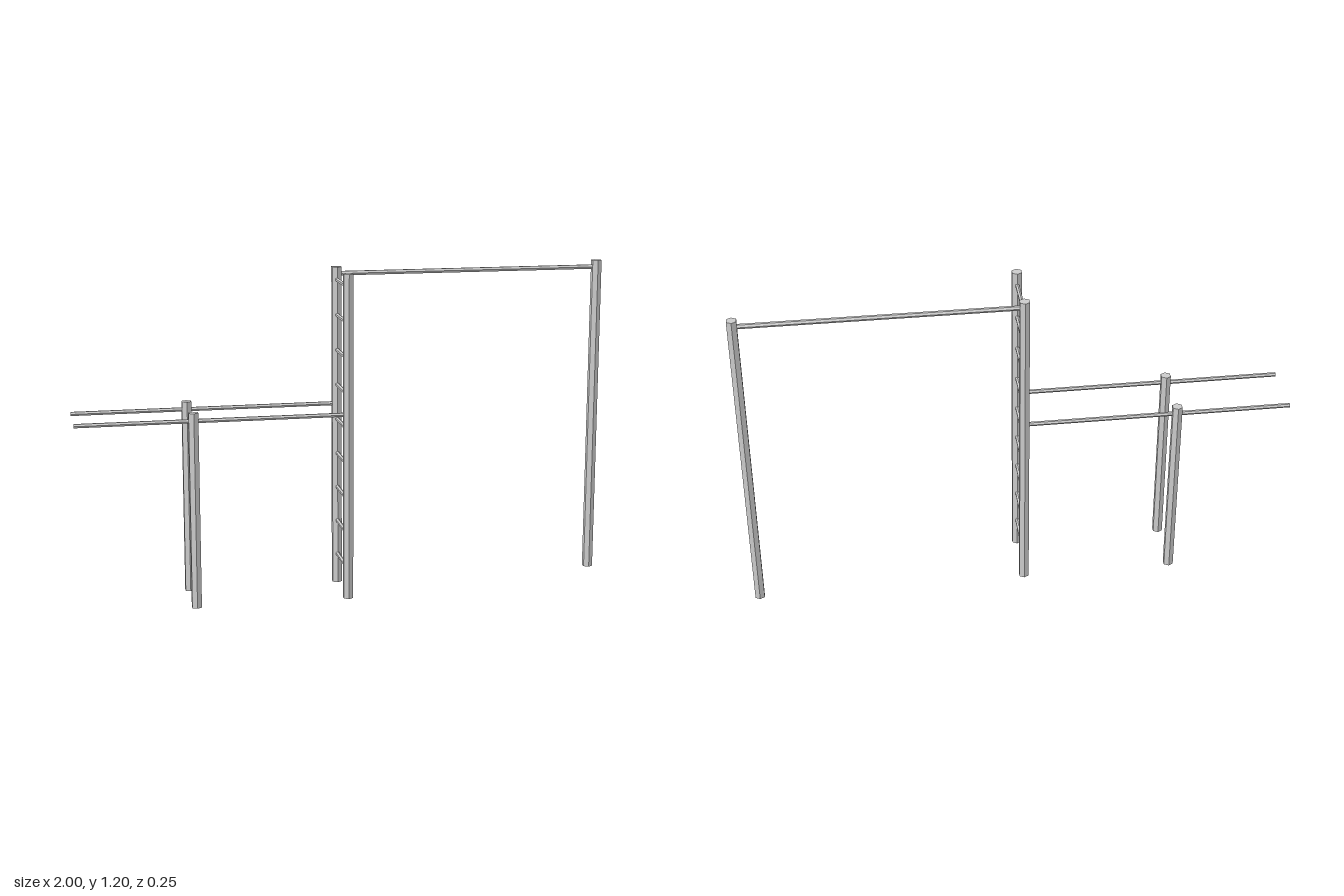
import * as THREE from 'three';

const material = new THREE.MeshStandardMaterial({ color: 0xcccccc, flatShading: true });
const SIDE_Z = 0.106; // distance of each row of posts from the centre line
const LADDER_X = -0.02;

// Six-sided upright standing on the ground
function post(name, x, z, height) {
  const mesh = new THREE.Mesh(new THREE.CylinderGeometry(0.02, 0.02, height, 6), material);
  mesh.name = name;
  mesh.position.set(x, height / 2, z);
  return mesh;
}

// Six-sided bar of a given length lying along x or z
function bar(name, axis, length, radius, x, y, z) {
  const geometry = new THREE.CylinderGeometry(radius, radius, length, 6);
  if (axis === 'x') geometry.rotateZ(Math.PI / 2);
  else geometry.rotateX(Math.PI / 2);
  const mesh = new THREE.Mesh(geometry, material);
  mesh.name = name;
  mesh.position.set(x, y, z);
  return mesh;
}

export function createModel() {
  const model = new THREE.Group();
  model.name = 'exerciseBars';

  // Ladder: two tall posts and nine rungs
  const ladder = new THREE.Group();
  ladder.name = 'ladder';
  for (const side of [-1, 1]) {
    ladder.add(post(side < 0 ? 'ladderPostBack' : 'ladderPostFront', LADDER_X, side * SIDE_Z, 1.2));
  }
  for (let i = 0; i < 9; i++) {
    ladder.add(bar('rung', 'z', SIDE_Z * 2, 0.0075, LADDER_X, 0.113 + i * 0.13, 0));
  }
  model.add(ladder);

  // Parallel bars: mirrored pair running past their short posts
  const parallelBars = new THREE.Group();
  parallelBars.name = 'parallelBars';
  for (const side of [-1, 1]) {
    const z = side * SIDE_Z;
    parallelBars.add(post('shortPost', -0.58, z, 0.72));
    parallelBars.add(bar('parallelBar', 'x', 1 + LADDER_X, 0.008, (LADDER_X - 1) / 2, 0.69, z));
  }
  model.add(parallelBars);

  // High bar between the rear ladder post and the far post
  const highBar = new THREE.Group();
  highBar.name = 'pullUpStation';
  highBar.add(post('farPost', 0.98, -SIDE_Z, 1.2));
  highBar.add(bar('pullUpBar', 'x', 0.98 - LADDER_X, 0.009, (0.98 + LADDER_X) / 2, 1.175, -SIDE_Z));
  model.add(highBar);

  return model;
}
